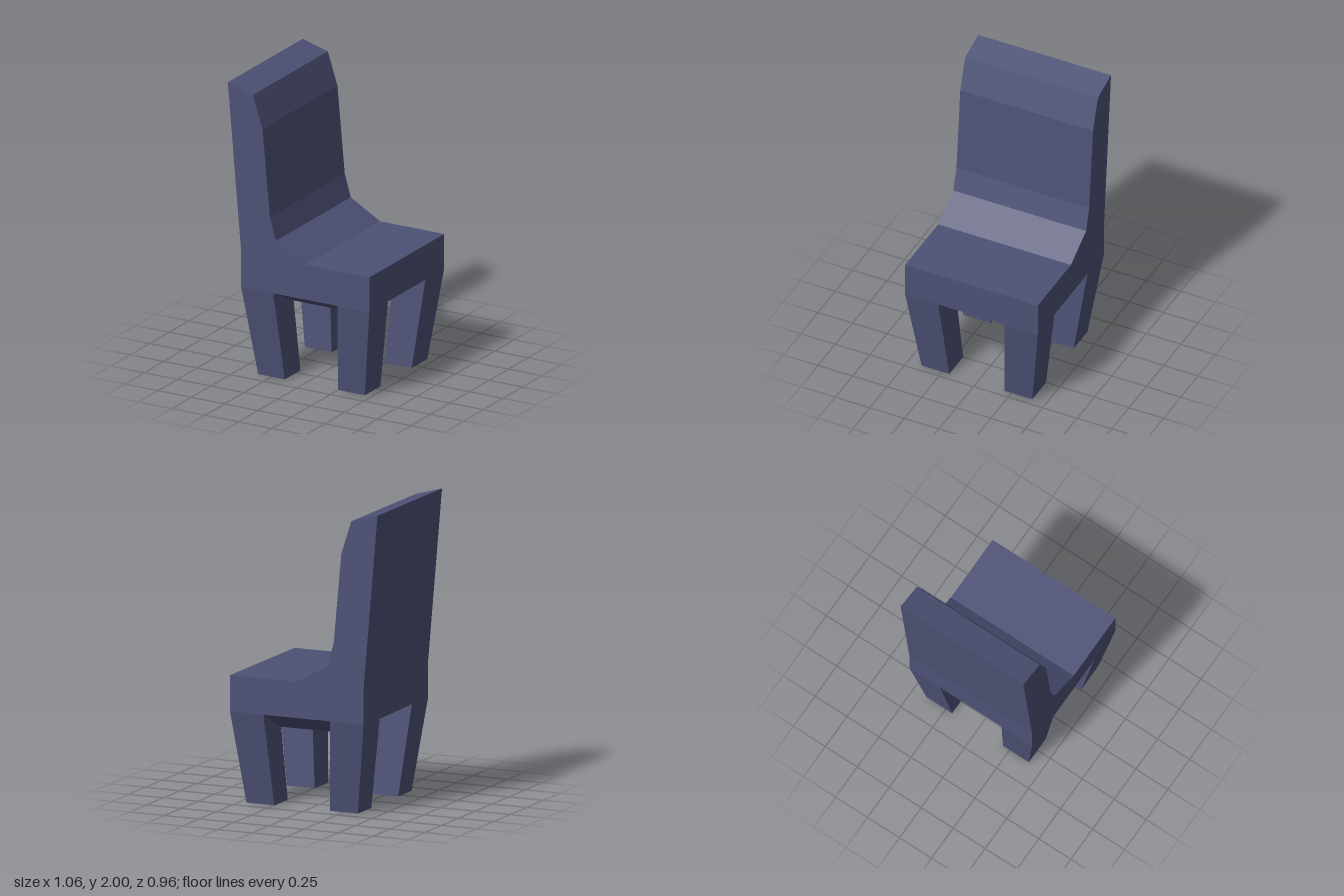
import * as THREE from 'three';

const SEAT_X = 0.05; // seat centre; the chair faces +x

// Box whose top and bottom rectangles are given separately as [x0, x1, z0, z1]
function taperedBox(top, bottom, yTop, yBottom) {
  const g = new THREE.BoxGeometry(1, 1, 1);
  const p = g.attributes.position;
  for (let i = 0; i < p.count; i++) {
    const up = p.getY(i) > 0;
    const r = up ? top : bottom;
    p.setXYZ(i, r[p.getX(i) > 0 ? 1 : 0], up ? yTop : yBottom, r[p.getZ(i) > 0 ? 3 : 2]);
  }
  g.computeVertexNormals();
  return g;
}

// Ordered range between two distances on one side of the centre
const span = (sign, inner, outer) => (sign > 0 ? [inner, outer] : [-outer, -inner]);

export function createModel() {
  const chair = new THREE.Group();
  chair.name = 'chair';
  const upholstery = new THREE.MeshStandardMaterial({ color: 0x4d5175, flatShading: true });
  upholstery.name = 'slate blue';

  const add = (name, geometry, x = 0) => {
    const mesh = new THREE.Mesh(geometry, upholstery);
    mesh.name = name;
    mesh.position.x = x;
    chair.add(mesh);
  };

  // Seat and backrest as one side profile
  const profile = new THREE.Shape([
    [-0.43, 0.61], [0.53, 0.61], [0.53, 0.85], [0.05, 0.85], [-0.17, 0.975],
    [-0.215, 1.13], [-0.27, 1.725], [-0.342, 1.947], [-0.53, 2], [-0.43, 0.85],
  ].map(([x, y]) => new THREE.Vector2(x, y)));
  const body = new THREE.ExtrudeGeometry(profile, { depth: 0.96, bevelEnabled: false });
  body.translate(0, 0, -0.48);
  add('seatAndBackrest', body);

  // Underside sloping down to a flat centre
  add('seatUnderside', taperedBox([-0.48, 0.48, -0.48, 0.48],
    [-0.232, 0.232, -0.232, 0.232], 0.61, 0.485), SEAT_X);

  // Four legs tapering inwards
  for (const sx of [1, -1]) {
    for (const sz of [1, -1]) {
      const top = [...span(sx, 0.24, 0.48), ...span(sz, 0.24, 0.48)];
      const foot = [...span(sx, 0.2, 0.4), ...span(sz, 0.2, 0.4)];
      add(`${sx > 0 ? 'front' : 'back'}Leg${sz > 0 ? 'Right' : 'Left'}`,
        taperedBox(top, foot, 0.61, 0), SEAT_X);
    }
  }
  return chair;
}
